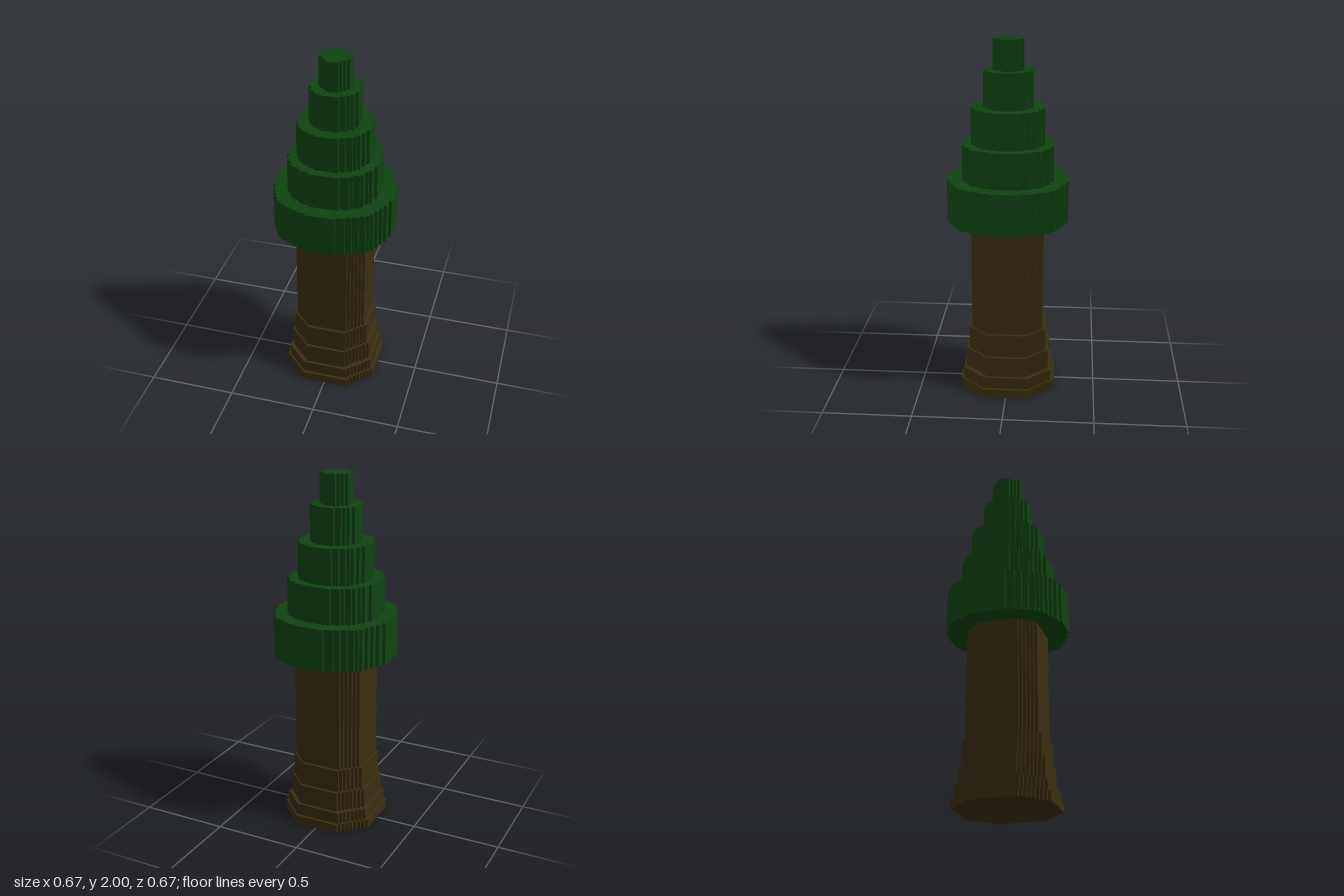
import * as THREE from 'three';

const U = 1 / 60; // side of one grid cell

// Closed stepped outline from the half-width of each row, mirrored into four quadrants.
function steppedShape(rows) {
  const q = [];
  for (let j = 1; j < rows.length; j++) {
    if (rows[j] !== rows[j - 1]) q.push([rows[j - 1], j], [rows[j], j]);
  }
  q.push([rows[rows.length - 1], rows.length]);
  const r = [...q].reverse();
  const points = [
    ...q,
    ...r.map(([x, y]) => [-x, y]),
    ...q.map(([x, y]) => [-x, -y]),
    ...r.map(([x, y]) => [x, -y]),
  ];
  return new THREE.Shape(points.map(([x, y]) => new THREE.Vector2(x * U, y * U)));
}

// Upright tier between two heights, given in cells.
function tier(name, rows, bottom, top, material) {
  const geometry = new THREE.ExtrudeGeometry(steppedShape(rows), {
    depth: (top - bottom) * U,
    bevelEnabled: false,
  });
  geometry.rotateX(-Math.PI / 2);
  const mesh = new THREE.Mesh(geometry, material);
  mesh.name = name;
  mesh.position.y = bottom * U;
  return mesh;
}

// Rows of a squarish block whose corners are cut in single steps.
const cutCorner = (radius, flat) =>
  Array.from({ length: radius }, (_, j) => Math.min(radius, radius + flat - 1 - j));

export function createModel() {
  const bark = new THREE.MeshStandardMaterial({ color: 0x3a2d10 });
  bark.name = 'bark brown';
  const leaf = new THREE.MeshStandardMaterial({ color: 0x0e4310 });
  leaf.name = 'leaf green';

  const tree = new THREE.Group();
  tree.name = 'tree';

  // Trunk, flaring at the roots: [radius, flat half-width, bottom, top]
  const trunk = new THREE.Group();
  trunk.name = 'trunk';
  [
    [16, 8, 0, 3],
    [15, 8, 3, 7],
    [14, 7, 7, 14],
    [13, 7, 14, 22],
    [12, 7, 22, 60],
  ].forEach(([radius, flat, bottom, top], i) => {
    trunk.add(tier(i < 4 ? `rootFlare${i + 1}` : 'trunkShaft', cutCorner(radius, flat), bottom, top, bark));
  });

  // Foliage, five round tiers: [row half-widths, bottom, top]
  const foliage = new THREE.Group();
  foliage.name = 'foliage';
  [
    [[20, 20, 20, 20, 20, 19, 19, 19, 18, 18, 17, 17, 16, 16, 15, 14, 12, 10, 8, 5], 60, 74],
    [[15, 15, 15, 15, 15, 14, 14, 14, 13, 12, 12, 11, 9, 8, 5], 74, 86],
    [[12, 12, 12, 12, 11, 11, 10, 10, 9, 8, 6, 4], 86, 98],
    [[8, 8, 8, 7, 7, 6, 5, 3], 98, 110],
    [[5, 5, 4, 3, 2], 110, 120],
  ].forEach(([rows, bottom, top], i) => {
    foliage.add(tier(`foliageTier${i + 1}`, rows, bottom, top, leaf));
  });

  tree.add(trunk, foliage);
  return tree;
}
